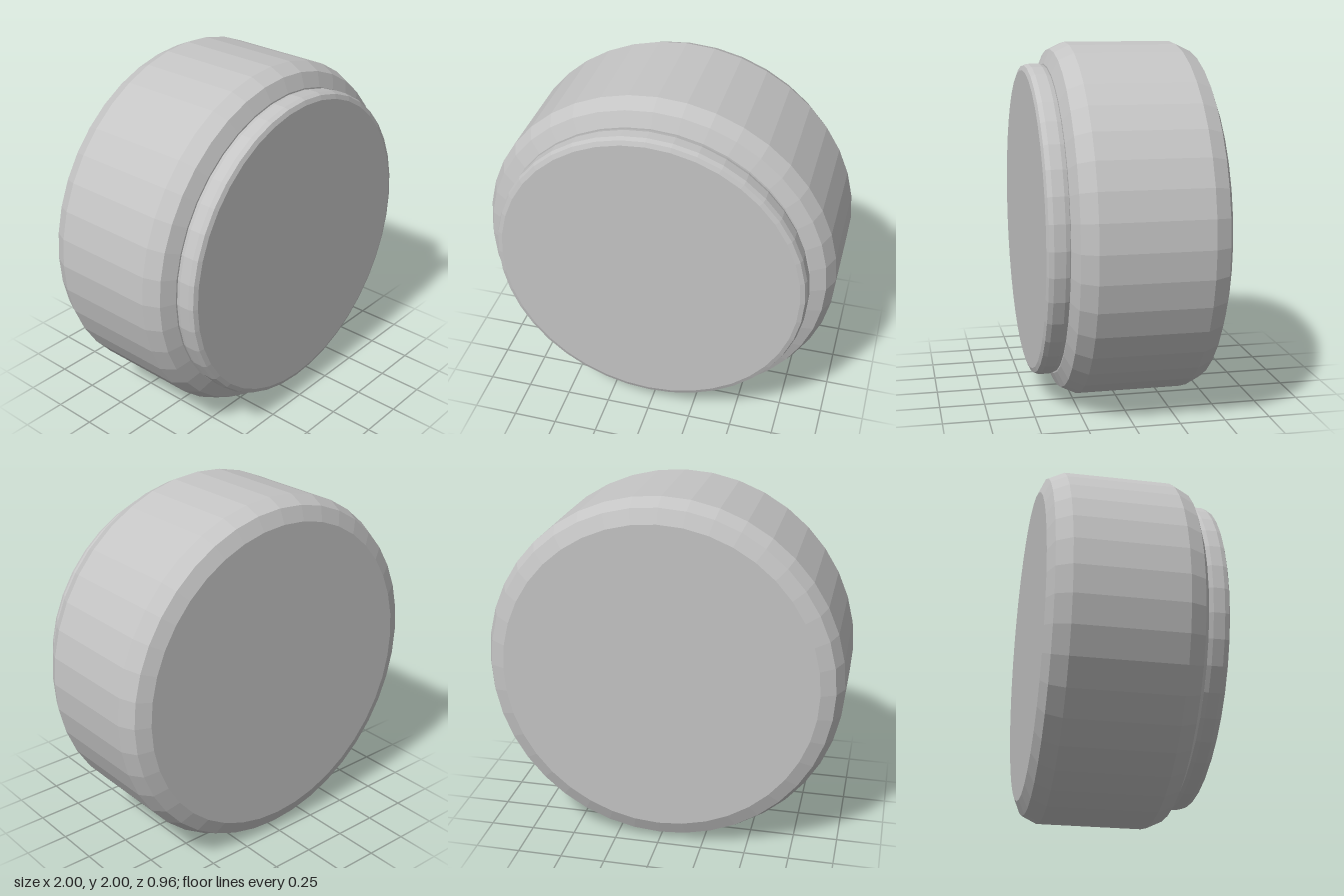
import * as THREE from 'three';

const SIDES = 40;

// Turned solid about the z axis; profile points are [radius, z], back to front
function turned(name, profile, material) {
  const points = profile.map(([r, z]) => new THREE.Vector2(r, z));
  const geometry = new THREE.LatheGeometry(points, SIDES).rotateX(Math.PI / 2);
  const flat = geometry.toNonIndexed();
  flat.computeVertexNormals();
  const mesh = new THREE.Mesh(flat, material);
  mesh.name = name;
  return mesh;
}

export function createModel() {
  const grey = new THREE.MeshStandardMaterial({ color: 0xc4c4c4 });
  grey.name = 'light grey';

  const model = new THREE.Group();
  model.name = 'roundButton';

  // Thick drum with two-step bevels on both rims
  model.add(turned('body', [
    [0, -0.48], [0.88, -0.48], [0.96, -0.445], [1, -0.36],
    [1, 0.24], [0.96, 0.325], [0.88, 0.36], [0, 0.36],
  ], grey));

  // Raised front disc with small softened edges
  model.add(turned('frontCap', [
    [0, 0.353], [0.865, 0.353], [0.873, 0.362], [0.88, 0.385],
    [0.88, 0.445], [0.87, 0.47], [0.845, 0.48], [0, 0.48],
  ], grey));

  model.position.y = 1;
  const root = new THREE.Group();
  root.add(model);
  return root;
}
